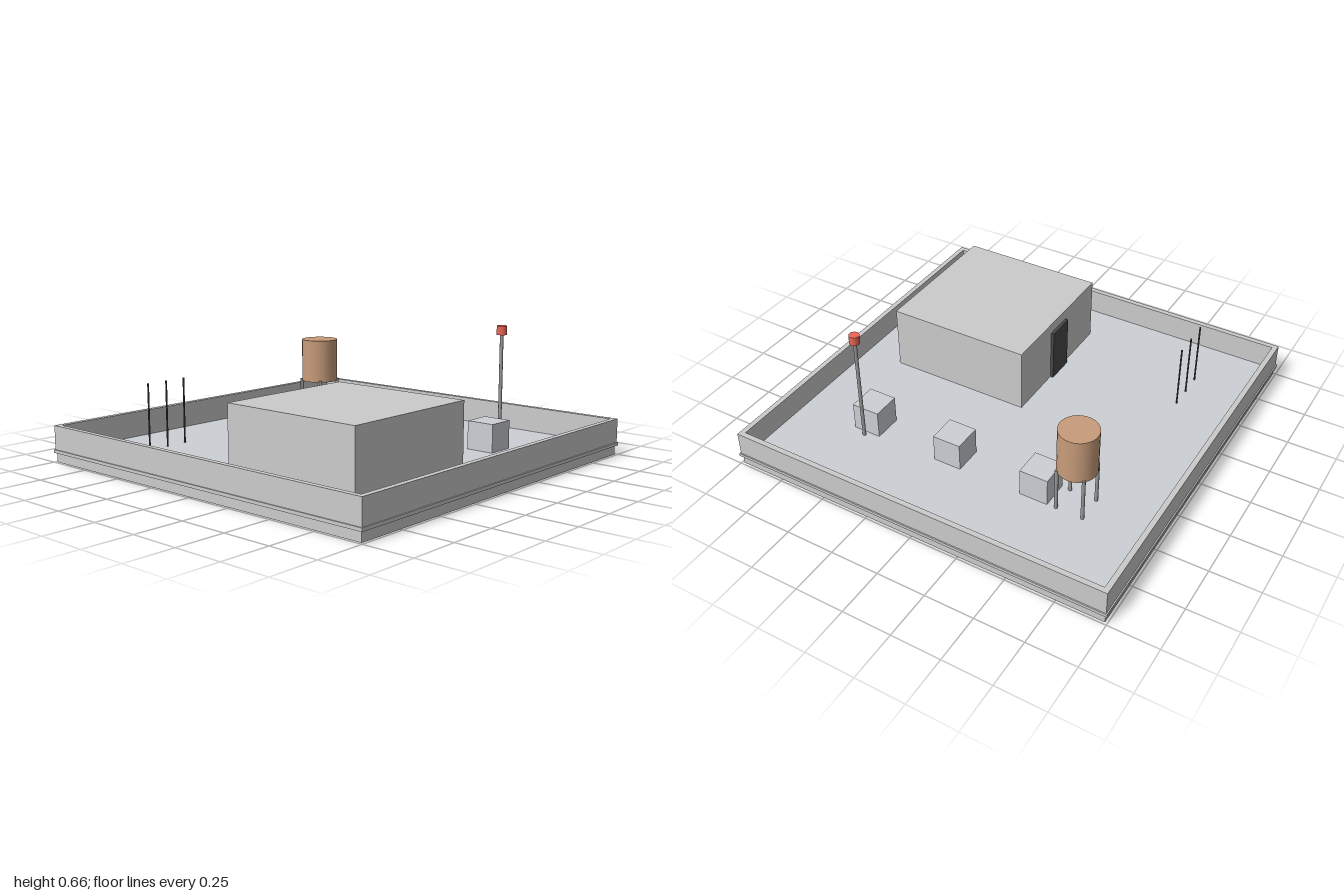
import * as THREE from 'three';

const paint = (color) => new THREE.MeshStandardMaterial({ color });

export function createModel() {
  const model = new THREE.Group();
  const grey = paint(0xcccccc);
  const floorGrey = paint(0xcccfd5);
  const steel = paint(0x999999);
  const dark = paint(0x48484a);
  const wood = paint(0xc89c7a);
  const red = paint(0xec6656);
  const floorY = 0.055;

  function add(name, geometry, material, x, y, z, parent = model) {
    const mesh = new THREE.Mesh(geometry, material);
    mesh.name = name;
    mesh.position.set(x, y, z);
    parent.add(mesh);
    return mesh;
  }
  // Box and upright cylinder placed by their bottom height
  const box = (name, w, h, d, x, y, z, mat = grey, parent) =>
    add(name, new THREE.BoxGeometry(w, h, d), mat, x, y + h / 2, z, parent);
  const post = (name, r, h, x, y, z, mat, sides = 8, parent) =>
    add(name, new THREE.CylinderGeometry(r, r, h, sides), mat, x, y + h / 2, z, parent);

  // Ground slab and floor
  box('baseSlab', 1.976, 0.048, 1.976, 0, 0, 0);
  box('floor', 1.96, 0.01, 1.96, 0, floorY - 0.01, 0, floorGrey);

  // Square frame with an open middle, extruded upwards
  function frame(name, outer, inner, y0, y1) {
    const square = (Type, s) => new Type([[-s, -s], [s, -s], [s, s], [-s, s]]
      .map(([x, y]) => new THREE.Vector2(x, y)));
    const shape = square(THREE.Shape, outer);
    shape.holes.push(square(THREE.Path, inner));
    const geometry = new THREE.ExtrudeGeometry(shape, { depth: y1 - y0, bevelEnabled: false });
    geometry.rotateX(-Math.PI / 2);
    add(name, geometry, grey, 0, y0, 0);
  }
  frame('baseTrim', 1, 0.97, 0.048, 0.064);
  frame('perimeterWall', 0.994, 0.967, 0.05, 0.185);

  // Building with a door at the back
  const building = new THREE.Group();
  building.name = 'building';
  model.add(building);
  box('buildingBlock', 0.755, 0.39 - floorY, 0.755, -0.382, floorY, 0.378, grey, building);
  box('door', 0.152, 0.335 - floorY, 0.02, -0.382, floorY, -0.006, dark, building);

  // Row of crates
  for (const z of [-0.385, 0.092, 0.567]) {
    box('crate', 0.147, 0.198 - floorY, 0.147, 0.473, floorY, z, floorGrey);
  }

  // Water tank on four legs
  const tank = new THREE.Group();
  tank.name = 'waterTank';
  tank.position.set(0.473, 0, -0.572);
  model.add(tank);
  post('tankBarrel', 0.097, 0.23, 0, 0.276, 0, wood, 32, tank);
  for (const x of [-0.069, 0.069]) {
    for (const z of [-0.069, 0.069]) {
      post('tankLeg', 0.009, 0.285 - floorY, x, floorY, z, steel, 10, tank);
    }
  }

  // Signal mast with a red lamp
  const mast = new THREE.Group();
  mast.name = 'signalMast';
  mast.position.set(0.57, 0, 0.567);
  model.add(mast);
  post('mastPole', 0.009, 0.62 - floorY, 0, floorY, 0, steel, 12, mast);
  post('mastLamp', 0.026, 0.045, 0, 0.617, 0, red, 16, mast);

  // Thin antennas in the back corner
  for (const x of [-0.667, -0.553, -0.44]) {
    post('antenna', 0.0045, 0.39 - floorY, x, floorY, -0.667, dark, 8);
  }

  return model;
}
